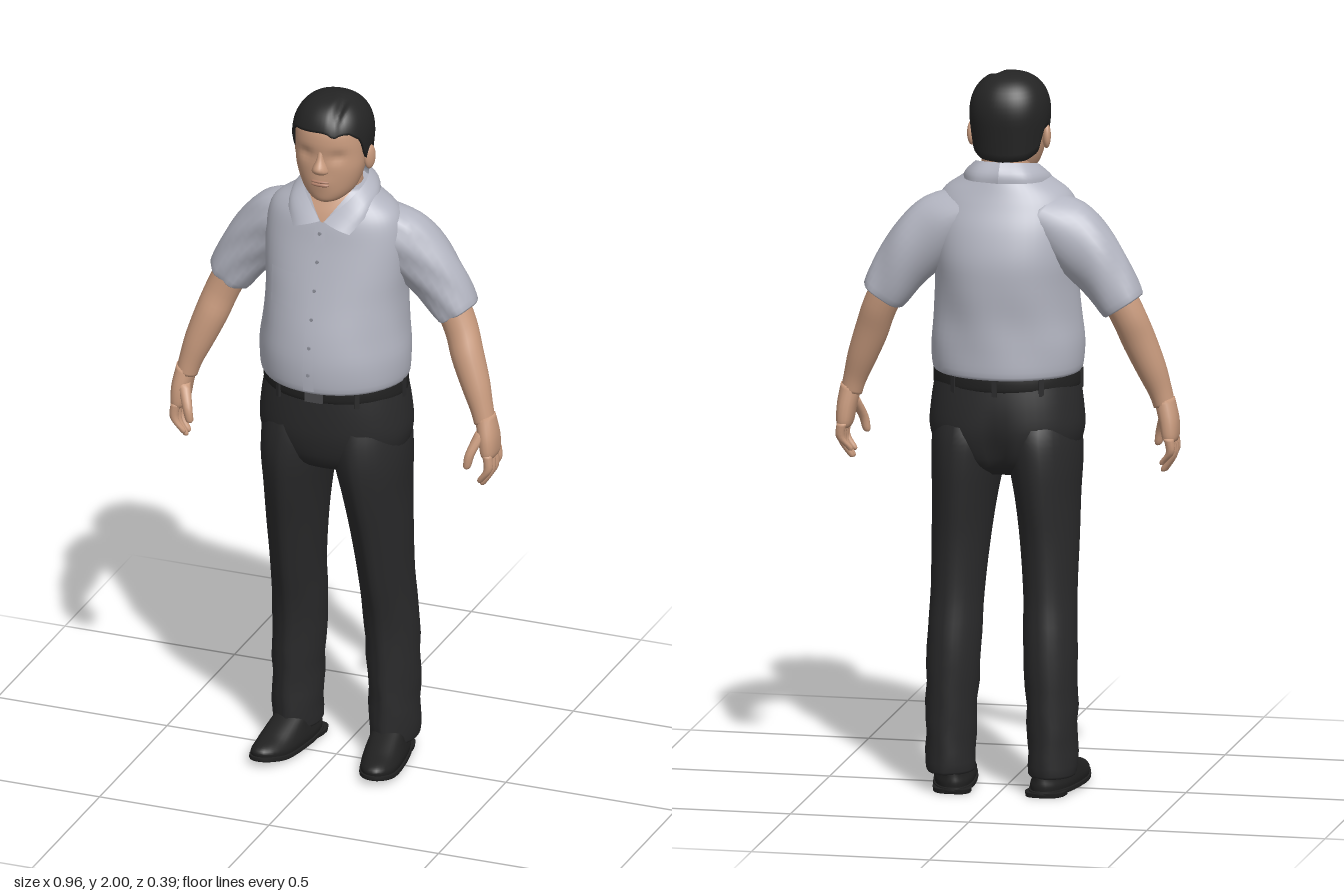
import * as THREE from 'three';

const mat = (name, color, side = THREE.FrontSide) => Object.assign(new THREE.MeshStandardMaterial({ color, side }), { name });
const M = {
  shirt: mat('shirtGrey', 0xb3b5c1, THREE.DoubleSide),
  skin: mat('skin', 0xc99b7e, THREE.DoubleSide),
  lips: mat('lips', 0xb07f69),
  hair: mat('hairBlack', 0x242424),
  trousers: mat('trouserBlack', 0x2a2a2b),
  leather: mat('leather', 0x212121),
  metal: mat('buckleGrey', 0x4a4a4c),
  button: mat('buttonGrey', 0x8f919c),
};

// Smooth surface through a grid of points; columns may wrap around
function grid(rows, cols, closed, fn) {
  const pos = [], idx = [], n = closed ? cols : cols + 1;
  for (let i = 0; i <= rows; i++) for (let j = 0; j < n; j++) pos.push(...fn(i, j).toArray());
  for (let i = 0; i < rows; i++) for (let j = 0; j < cols; j++) {
    const k = (j + 1) % n, a = i * n + j, b = i * n + k, c = b + n, d = a + n;
    idx.push(a, b, c, a, c, d);
  }
  const g = new THREE.BufferGeometry();
  g.setAttribute('position', new THREE.Float32BufferAttribute(pos, 3));
  g.setIndex(idx);
  g.computeVertexNormals();
  return g;
}

// Rings are [x, y, z, halfWidth, front, back, tilt, squareness], listed bottom to top
function refine(rings, sub = 4) {
  const R = rings.map(r => [...r, ...[0, 2].slice(r.length - 6)]), out = [];
  for (let i = 0; i < R.length - 1; i++) for (let s = 0; s < sub; s++) {
    const t = s / sub, p0 = R[Math.max(i - 1, 0)], p1 = R[i], p2 = R[i + 1], p3 = R[Math.min(i + 2, R.length - 1)];
    out.push(p1.map((_, k) => 0.5 * (2 * p1[k] + (p2[k] - p0[k]) * t + (2 * p0[k] - 5 * p1[k] + 4 * p2[k] - p3[k]) * t * t
      + (3 * p1[k] - p0[k] - 3 * p2[k] + p3[k]) * t * t * t)));
  }
  out.push(R[R.length - 1]);
  return out;
}
const spow = (v, e) => Math.sign(v) * Math.abs(v) ** e;
function loft(rings, segs = 28, deform = null) {
  const D = refine(rings), last = D.length + 1;
  return grid(last, segs, true, (i, j) => {
    const [x, y, z, w, f, b, tilt, sq] = D[Math.min(Math.max(i - 1, 0), D.length - 1)];
    if (i === 0 || i === last) return new THREE.Vector3(x, y, z);
    let a = j / segs * Math.PI * 2;
    if (a > Math.PI) a -= Math.PI * 2;
    const u = w * spow(Math.sin(a), 2 / sq), c = Math.cos(a);
    const p = new THREE.Vector3(x + u * Math.cos(tilt), y + u * Math.sin(tilt), z + (c > 0 ? f : b) * spow(c, 2 / sq));
    if (deform) deform(p, a);
    return p;
  });
}
function mirrored(g) {
  const m = g.clone().scale(-1, 1, 1), ix = m.index.array;
  for (let i = 0; i < ix.length; i += 3) [ix[i], ix[i + 1]] = [ix[i + 1], ix[i]];
  m.computeVertexNormals();
  return m;
}
const bump = (v, w) => Math.exp(-((v / w) ** 2));

const TORSO = [
  [0, 1.168, 0, 0.19, 0.178, 0.168], [0, 1.178, 0, 0.207, 0.193, 0.182], [0, 1.25, 0, 0.212, 0.196, 0.182],
  [0, 1.33, 0, 0.204, 0.184, 0.182], [0, 1.42, 0, 0.198, 0.16, 0.188, 0, 2.1], [0, 1.5, 0, 0.2, 0.138, 0.186, 0, 2.2],
  [0, 1.58, 0, 0.2, 0.117, 0.166, 0, 2.2], [0, 1.64, 0, 0.192, 0.104, 0.14, 0, 2.1], [0, 1.675, 0, 0.172, 0.092, 0.125],
  [0, 1.705, 0, 0.13, 0.077, 0.113], [0, 1.735, 0, 0.088, 0.062, 0.1]];
const torsoRings = refine(TORSO);

// Depth of the shirt front at a given spot
function frontZ(x, y) {
  const k = Math.max(1, torsoRings.findIndex(r => r[1] >= y)), A = torsoRings[k - 1], B = torsoRings[k];
  const t = (y - A[1]) / (B[1] - A[1]), at = i => A[i] + (B[i] - A[i]) * t;
  return at(5 - 1) * Math.max(0, 1 - Math.abs(x / at(3)) ** at(7)) ** (1 / at(7));
}
// Thin panel lying on the shirt front
const patch = (y0, y1, xa, xb, lift) => grid(14, 8, false, (i, j) => {
  const t = i / 14, y = y0 + (y1 - y0) * t, x = xa(t) + (xb(t) - xa(t)) * j / 8;
  return new THREE.Vector3(x, y, frontZ(x, y) + lift);
});

export function createModel() {
  const root = new THREE.Group();
  const add = (name, g, m, parent = root) => {
    const mesh = new THREE.Mesh(g, m);
    mesh.name = name;
    parent.add(mesh);
    return mesh;
  };
  const pair = (name, g, m) => {
    add('left' + name, g, m);
    add('right' + name, mirrored(g), m);
  };

  // Shirt body with soft folds, placket, buttons and pockets
  add('shirtBody', loft(TORSO, 48, (p, a) => {
    const low = bump(p.y - 1.3, 0.12), s = 1 + 0.012 * low * Math.sin(a * 7 + p.y * 14);
    p.x *= s;
    if (Math.abs(a) > 1.2) p.z *= s;
  }), M.shirt);
  add('placket', patch(1.18, 1.655, () => -0.02, () => 0.012, 0.005), M.shirt);
  for (let i = 0; i < 6; i++) {
    const y = 1.23 + i * 0.078;
    add('button', new THREE.CylinderGeometry(0.005, 0.005, 0.004, 10).rotateX(Math.PI / 2), M.button).position.set(-0.004, y, frontZ(0, y) + 0.007);
  }
  pair('Pocket', patch(1.4, 1.5, t => 0.06 - 0.004 * t, t => 0.145 + 0.004 * t, 0.005), M.shirt);

  // Sleeves
  pair('Sleeve', loft([
    [0.332, 1.385, -0.055, 0.048, 0.046, 0.05, 0.58], [0.336, 1.374, -0.055, 0.064, 0.06, 0.064, 0.58],
    [0.287, 1.452, -0.055, 0.077, 0.069, 0.071, 0.6], [0.225, 1.525, -0.05, 0.09, 0.077, 0.082, 0.65],
    [0.16, 1.583, -0.04, 0.092, 0.084, 0.09, 0.8], [0.09, 1.62, -0.03, 0.07, 0.08, 0.09, 0.95]], 28,
    (p, a) => { p.z += 0.004 * Math.sin(a * 5 + p.y * 40); }), M.shirt);

  // Collar wings, open in front over a V of skin
  add('openNeck', patch(1.652, 1.734, t => -0.004 - 0.06 * t, t => 0.004 + 0.06 * t, 0.006), M.skin);
  const curve = pts => new THREE.CatmullRomCurve3(pts.map(p => new THREE.Vector3(...p)));
  const top = curve([[0, 1.765, -0.098], [0.06, 1.762, -0.075], [0.086, 1.75, -0.015], [0.075, 1.725, 0.05], [0.006, 1.656, 0.11]]);
  const low = curve([[0, 1.71, -0.122], [0.08, 1.71, -0.1], [0.122, 1.702, -0.015], [0.118, 1.678, 0.06], [0.083, 1.63, 0.113]]);
  pair('Collar', grid(6, 20, false, (i, j) => {
    const v = i / 6, p = low.getPoint(1 - j / 20).lerp(top.getPoint(1 - j / 20), v), s = 1 + 0.08 * Math.sin(v * Math.PI);
    return p.set(p.x * s, p.y, p.z * s);
  }), M.shirt);

  // Arms
  pair('Arm', loft([
    [0.439, 1.085, 0.004, 0.03, 0.033, 0.033, 0.3], [0.428, 1.125, 0, 0.033, 0.035, 0.035, 0.38], [0.407, 1.185, -0.01, 0.041, 0.042, 0.042, 0.4],
    [0.376, 1.265, -0.025, 0.047, 0.047, 0.046, 0.42], [0.35, 1.335, -0.042, 0.048, 0.047, 0.048, 0.45],
    [0.305, 1.43, -0.052, 0.05, 0.05, 0.05, 0.5]], 20), M.skin);

  // Hands: palm, four curled fingers and a thumb
  pair('Palm', loft([
    [0.458, 0.985, 0.004, 0.016, 0.04, 0.036, 0.1, 2.6], [0.457, 1.0, 0.004, 0.022, 0.047, 0.044, 0.1, 2.6],
    [0.452, 1.045, 0.004, 0.027, 0.045, 0.042, 0.15, 2.3], [0.44, 1.1, 0.003, 0.029, 0.032, 0.032, 0.3]], 18), M.skin);
  [[0.038, 0.915], [0.014, 0.9], [-0.011, 0.903], [-0.034, 0.925]].forEach(([z, tip], i) => {
    pair('Finger' + (i + 1), loft([
      [0.437, tip - 0.004, z * 0.8 + 0.006, 0.004, 0.004, 0.004], [0.441, tip + 0.006, z * 0.8 + 0.006, 0.01, 0.009, 0.009],
      [0.463, (tip + 0.995) / 2, z + 0.002, 0.012, 0.011, 0.011], [0.459, 0.998, z, 0.014, 0.013, 0.013]], 10), M.skin);
  });
  pair('Thumb', loft([
    [0.408, 0.958, 0.062, 0.004, 0.004, 0.004], [0.41, 0.967, 0.062, 0.011, 0.01, 0.01],
    [0.418, 1.005, 0.057, 0.014, 0.012, 0.014], [0.44, 1.06, 0.025, 0.018, 0.018, 0.018]], 10), M.skin);

  // Neck, head and face
  add('neck', loft([[0, 1.66, -0.02, 0.07, 0.07, 0.07], [0, 1.72, -0.015, 0.069, 0.078, 0.07], [0, 1.8, 0, 0.07, 0.07, 0.08]], 24), M.skin);
  add('head', loft([
    [-0.004, 1.704, 0.06, 0.02, 0.025, 0.06], [-0.004, 1.715, 0.045, 0.048, 0.056, 0.07], [-0.004, 1.738, 0.037, 0.071, 0.071, 0.09],
    [-0.004, 1.77, 0.035, 0.086, 0.076, 0.11], [-0.004, 1.81, 0.035, 0.096, 0.078, 0.12], [-0.004, 1.85, 0.035, 0.098, 0.077, 0.12],
    [-0.004, 1.89, 0.035, 0.098, 0.08, 0.12], [-0.004, 1.93, 0.033, 0.094, 0.074, 0.11], [-0.004, 1.965, 0.03, 0.07, 0.045, 0.09]], 44,
    (p, a) => {
      p.z -= 0.008 * bump(Math.abs(a) - 0.5, 0.22) * bump(p.y - 1.852, 0.016);
      p.z += 0.004 * bump(a, 0.35) * bump(p.y - 1.77, 0.02);
    }), M.skin);
  add('nose', loft([
    [-0.004, 1.797, 0.106, 0.012, 0.01, 0.02], [-0.004, 1.806, 0.108, 0.024, 0.023, 0.02], [-0.004, 1.82, 0.107, 0.021, 0.029, 0.02],
    [-0.004, 1.845, 0.103, 0.011, 0.019, 0.02], [-0.004, 1.875, 0.1, 0.009, 0.01, 0.02]], 16), M.skin);
  for (const [y, h] of [[1.776, 0.005], [1.767, 0.006]]) {
    const lip = add('lip', new THREE.SphereGeometry(1, 16, 10), M.lips);
    lip.scale.set(0.027, h, 0.008);
    lip.position.set(-0.004, y, 0.111);
  }
  for (const s of [-1, 1]) {
    const ear = add(s > 0 ? 'leftEar' : 'rightEar', new THREE.SphereGeometry(1, 16, 12), M.skin);
    ear.scale.set(0.012, 0.036, 0.021);
    ear.position.set(-0.004 + s * 0.104, 1.825, 0.004);
    ear.rotation.y = s * -0.3;
  }

  // Hair cap with a shaped hairline and a side parting
  const line = [[0, 1.925], [0.25, 1.92], [0.36, 1.895], [0.42, 1.84], [0.47, 1.825], [0.52, 1.858], [0.6, 1.85], [0.66, 1.79], [0.8, 1.77], [1, 1.765]];
  const hairline = t => {
    const k = Math.max(1, line.findIndex(l => l[0] >= t)), [a, b] = [line[k - 1], line[k]];
    return a[1] + (b[1] - a[1]) * (t - a[0]) / (b[0] - a[0]);
  };
  add('hair', grid(19, 64, true, (i, j) => {
    const t = j / 64 * 2, a = t * Math.PI, base = hairline(Math.min(t, 2 - t)), c = Math.cos(a);
    const y = base + (2 - base) * Math.sin(Math.max(i - 1, 0) / 18 * Math.PI / 2);
    let r = y > 1.88 ? Math.max(0, 1 - ((y - 1.88) / 0.12) ** 2.4) ** (1 / 2.4) : 1 - (1.88 - y) * 0.9;
    if (i === 0) r *= 0.82;
    const p = new THREE.Vector3(-0.006 + 0.111 * r * spow(Math.sin(a), 0.9), y, 0.005 + (c > 0 ? 0.117 : 0.116) * r * spow(c, 0.9));
    p.y -= 0.012 * bump(p.x - 0.035, 0.013) * THREE.MathUtils.smoothstep(p.z, -0.03, 0.06);
    return p;
  }), M.hair);

  // Trousers: seat and two creased legs
  add('trouserSeat', loft([
    [0, 0.885, -0.01, 0.08, 0.06, 0.08], [0, 0.925, 0, 0.175, 0.125, 0.15], [0, 1.0, 0, 0.212, 0.153, 0.175, 0, 2.2],
    [0, 1.08, 0, 0.21, 0.16, 0.174, 0, 2.2], [0, 1.165, 0, 0.197, 0.16, 0.163, 0, 2.1]], 48,
    (p, a) => { if (Math.abs(a) > 2) p.z += 0.03 * bump(p.x, 0.03) * bump(p.y - 0.95, 0.08); }), M.trousers);
  pair('TrouserLeg', loft([
    [0.143, 0.075, -0.075, 0.05, 0.07, 0.07], [0.143, 0.06, -0.075, 0.066, 0.088, 0.088], [0.142, 0.2, -0.075, 0.069, 0.089, 0.09],
    [0.135, 0.4, -0.07, 0.074, 0.093, 0.095], [0.13, 0.55, -0.047, 0.073, 0.105, 0.103], [0.124, 0.7, -0.025, 0.08, 0.12, 0.125],
    [0.116, 0.82, -0.01, 0.088, 0.137, 0.152], [0.108, 0.92, 0, 0.1, 0.146, 0.17], [0.1, 1.0, 0, 0.105, 0.145, 0.165],
    [0.1, 1.07, 0, 0.09, 0.13, 0.14]], 32, (p, a) => {
      p.z += 0.007 * bump(a, 0.14) - 0.005 * bump(Math.abs(a) - Math.PI, 0.14);
      p.x += 0.003 * Math.sin(p.y * 45 + a * 2) * bump(p.y - 0.2, 0.2);
    }), M.trousers);

  // Belt, loops and buckle
  add('belt', loft([[0, 1.134, 0, 0.196, 0.155, 0.16], [0, 1.137, 0, 0.204, 0.166, 0.17], [0, 1.176, 0, 0.201, 0.166, 0.169], [0, 1.18, 0, 0.19, 0.15, 0.155]], 48), M.leather);
  add('buckle', new THREE.BoxGeometry(0.052, 0.034, 0.008), M.metal).position.set(0, 1.152, 0.168);
  for (const a of [0.6, 1.5, 2.5, Math.PI, -2.5, -1.5, -0.6]) {
    const loop = add('beltLoop', new THREE.BoxGeometry(0.014, 0.055, 0.008), M.trousers);
    loop.position.set(0.205 * Math.sin(a), 1.15, 0.169 * Math.cos(a));
    loop.rotation.y = a;
  }

  // Shoes turned slightly outwards, with sole and heel
  const turn = p => {
    p.x += p.z * 0.13;
    p.y += 0.014 * THREE.MathUtils.smoothstep(p.z, 0.08, 0.18);
  };
  pair('Shoe', loft([
    [0.146, 0.014, 0, 0.055, 0.158, 0.155, 0, 2.4], [0.146, 0.03, 0, 0.058, 0.16, 0.157, 0, 2.3], [0.146, 0.047, 0, 0.056, 0.14, 0.156],
    [0.146, 0.068, -0.01, 0.05, 0.095, 0.143], [0.146, 0.1, -0.05, 0.042, 0.05, 0.09]], 32, turn), M.leather);
  pair('Sole', loft([
    [0.146, 0.004, 0, 0.053, 0.155, 0.152, 0, 2.4], [0.146, 0.006, 0, 0.06, 0.164, 0.16, 0, 2.4], [0.146, 0.018, 0, 0.06, 0.164, 0.16, 0, 2.4]], 32, turn), M.leather);
  pair('Heel', loft([[0.146, 0, -0.105, 0.053, 0.045, 0.052, 0, 2.8], [0.146, 0.014, -0.105, 0.055, 0.047, 0.055, 0, 2.8]], 24, turn), M.leather);

  return root;
}
